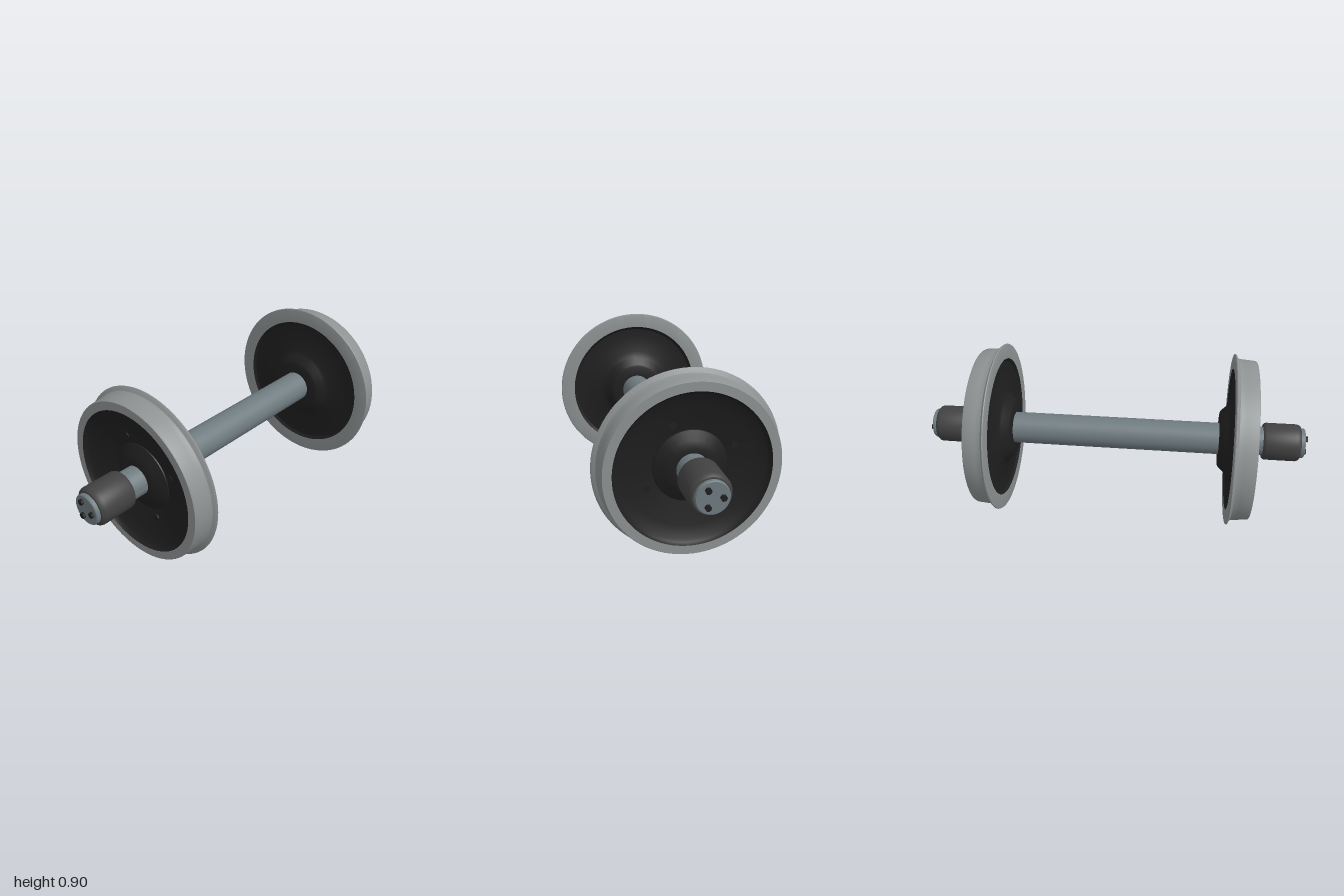
import * as THREE from 'three';
import { toCreasedNormals } from 'three/addons/utils/BufferGeometryUtils.js';

const AXIS_Y = 0.448;

const material = (name, color) => {
  const m = new THREE.MeshStandardMaterial({ color });
  m.name = name;
  return m;
};

// Lathe around the x axis; profile points are [x, radius]
function turned(name, profile, mat, segments = 72) {
  const points = profile.map(([x, r]) => new THREE.Vector2(r, x));
  const geo = new THREE.LatheGeometry(points, segments).rotateZ(-Math.PI / 2);
  const mesh = new THREE.Mesh(toCreasedNormals(geo, 0.55), mat);
  mesh.name = name;
  return mesh;
}

// Short cylinder along x, from x0 to x1
function stud(name, x0, x1, radius, sides, y, z, mat) {
  const geo = new THREE.CylinderGeometry(radius, radius, x1 - x0, sides);
  geo.rotateZ(-Math.PI / 2);
  const mesh = new THREE.Mesh(toCreasedNormals(geo, 0.6), mat);
  mesh.name = name;
  mesh.position.set((x0 + x1) / 2, y, z);
  return mesh;
}

export function createModel() {
  const rimSteel = material('rim steel', 0x8e9293);
  const axleSteel = material('axle steel', 0x6f7b80);
  const blackPaint = material('black paint', 0x1f1f1f);
  const bearingGrey = material('bearing grey', 0x424242);

  const group = new THREE.Group();
  group.name = 'wheelset';

  // Axle with thinner journals at both ends
  const half = [[0.6, 0.083], [0.66, 0.083], [0.67, 0.075], [0.97, 0.075]];
  const axle = turned('axle', [
    ...half.map(([x, r]) => [-x, r]).reverse(),
    ...half,
  ], axleSteel, 48);
  axle.position.y = AXIS_Y;
  group.add(axle);

  for (const side of [1, -1]) {
    const end = new THREE.Group();
    end.name = side > 0 ? 'leftEnd' : 'rightEnd';
    end.position.y = AXIS_Y;
    end.rotation.y = side > 0 ? 0 : Math.PI;

    // Rim with tread and flange
    end.add(turned('rim', [
      [0.6, 0.37], [0.6, 0.44], [0.602, 0.446], [0.606, 0.448], [0.61, 0.445],
      [0.615, 0.434], [0.62, 0.427], [0.63, 0.423], [0.65, 0.421],
      [0.71, 0.416], [0.715, 0.413], [0.715, 0.37],
    ], rimSteel, 96));

    // Web and hub, inner side then outer side
    end.add(turned('innerWeb', [
      [0.545, 0.08], [0.545, 0.14], [0.55, 0.15], [0.583, 0.18], [0.59, 0.19],
      [0.598, 0.22], [0.606, 0.26], [0.612, 0.31], [0.611, 0.355], [0.6, 0.37],
    ], blackPaint, 96));
    end.add(turned('outerWeb', [
      [0.715, 0.37], [0.698, 0.362], [0.689, 0.35], [0.672, 0.29],
      [0.655, 0.22], [0.645, 0.175], [0.651, 0.173], [0.672, 0.13],
      [0.685, 0.1], [0.685, 0.074],
    ], blackPaint, 96));

    // Four round plugs in the web
    for (let i = 0; i < 4; i++) {
      const a = 1.168 + i * Math.PI / 2;
      end.add(stud('webPlug', 0.63, 0.661, 0.018, 20,
        0.219 * Math.sin(a), 0.219 * Math.cos(a), blackPaint));
    }

    // Bearing barrel
    end.add(turned('bearing', [
      [0.773, 0.074], [0.773, 0.088], [0.777, 0.093], [0.787, 0.097],
      [0.945, 0.097], [0.955, 0.094], [0.965, 0.085], [0.967, 0.074],
    ], bearingGrey, 48));

    // End cap and its three hex bolts
    end.add(turned('endCap', [
      [0.96, 0.077], [0.982, 0.077], [0.987, 0.073], [0.987, 0],
    ], axleSteel, 48));
    for (let i = 0; i < 3; i++) {
      const a = Math.PI + i * Math.PI * 2 / 3;
      end.add(stud('capBolt', 0.98, 1, 0.015, 6,
        0.044 * Math.sin(a), 0.044 * Math.cos(a), blackPaint));
    }
    group.add(end);
  }
  return group;
}
